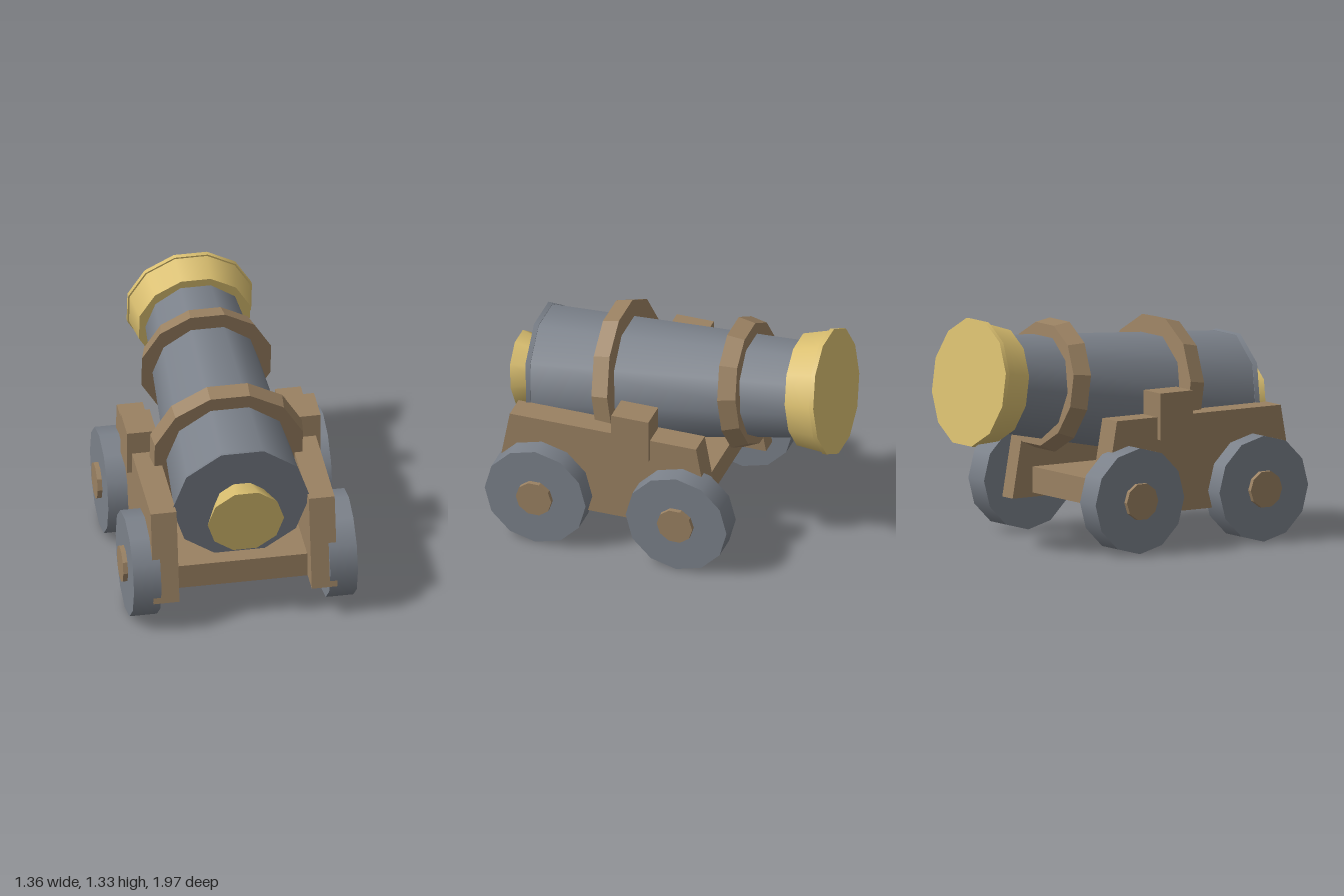
import * as THREE from 'three';

export function createModel() {
  const model = new THREE.Group();
  model.name = 'cannon';

  const material = (name, color) => {
    const m = new THREE.MeshStandardMaterial({ color });
    m.name = name;
    return m;
  };
  const iron = material('iron', 0x7b818a);
  const wood = material('wood', 0x9a8162);
  const brass = material('brass', 0xdabf70);

  const add = (parent, name, geometry, mat, x = 0, y = 0, z = 0) => {
    const mesh = new THREE.Mesh(geometry, mat);
    mesh.name = name;
    mesh.position.set(x, y, z);
    parent.add(mesh);
    return mesh;
  };

  // Faceted copy of a geometry
  const faceted = (geometry) => {
    const g = geometry.toNonIndexed();
    g.computeVertexNormals();
    return g;
  };

  // Gun: built along its own +y axis, then laid back with the muzzle raised
  const gun = new THREE.Group();
  gun.name = 'gun';
  gun.position.y = 0.854;
  gun.rotation.x = -(Math.PI / 2 - 0.1325);
  model.add(gun);

  // Tapered section from s0 to s1 along the bore, with a flat side on top
  const section = (name, mat, s0, r0, s1, r1, sides, flat = false) => {
    const g = new THREE.CylinderGeometry(r1, r0, s1 - s0, sides);
    g.rotateY(Math.PI / sides);
    return add(gun, name, flat ? faceted(g) : g, mat, 0, (s0 + s1) / 2, 0);
  };
  section('barrel', iron, -0.79, 0.388, 0.80, 0.283, 10);
  section('breechRim', iron, -0.805, 0.4, -0.78, 0.39, 10);
  section('breechKnob', brass, -0.965, 0.222, -0.79, 0.15, 10);
  section('muzzleRing', brass, 0.76, 0.332, 0.925, 0.362, 12);
  section('muzzleCap', brass, 0.925, 0.372, 0.95, 0.372, 12);
  section('rearBand', wood, -0.38, 0.445, -0.28, 0.455, 12, true);
  // Front band sits slightly high on the barrel
  section('frontBand', wood, 0.37, 0.388, 0.47, 0.358, 12, true).position.z = 0.015;

  // Carriage side outline, as z and y
  const outline = new THREE.Shape(
    [[0.95, 0.21], [0.85, 0.765], [-0.28, 0.765], [-0.38, 0.21]]
      .map(([z, y]) => new THREE.Vector2(-z, y))
  );
  const panel = new THREE.ExtrudeGeometry(outline, { depth: 0.15, bevelEnabled: false });
  panel.translate(0, 0, -0.075);
  panel.rotateY(Math.PI / 2);

  const tyre = new THREE.CylinderGeometry(0.306, 0.306, 0.16, 12);
  tyre.rotateZ(Math.PI / 2);
  const hub = faceted(new THREE.CylinderGeometry(0.108, 0.108, 0.205, 10));
  hub.rotateZ(Math.PI / 2);

  // Mirrored carriage sides, trunnion blocks and wheels
  for (const [side, label] of [[1, 'left'], [-1, 'right']]) {
    add(model, label + 'CarriageSide', panel, wood, side * 0.459, 0, 0);
    add(model, label + 'TrunnionBlock', new THREE.BoxGeometry(0.17, 0.27, 0.225), wood,
      side * 0.477, 0.77, 0.112);
    for (const [z, end] of [[0.655, 'Front'], [-0.2, 'Rear']]) {
      const wheel = new THREE.Group();
      wheel.name = label + end + 'Wheel';
      wheel.position.set(side * 0.57, 0.31, z);
      add(wheel, 'tyre', tyre, iron);
      add(wheel, 'hub', hub, wood, side * 0.005, 0, 0);
      model.add(wheel);
    }
  }

  // Floor between the sides
  add(model, 'carriageFloor', new THREE.BoxGeometry(0.75, 0.15, 1.1), wood, 0, 0.312, 0.3);

  // Rest the wheels on the ground
  model.position.y = -0.004;
  return model;
}
